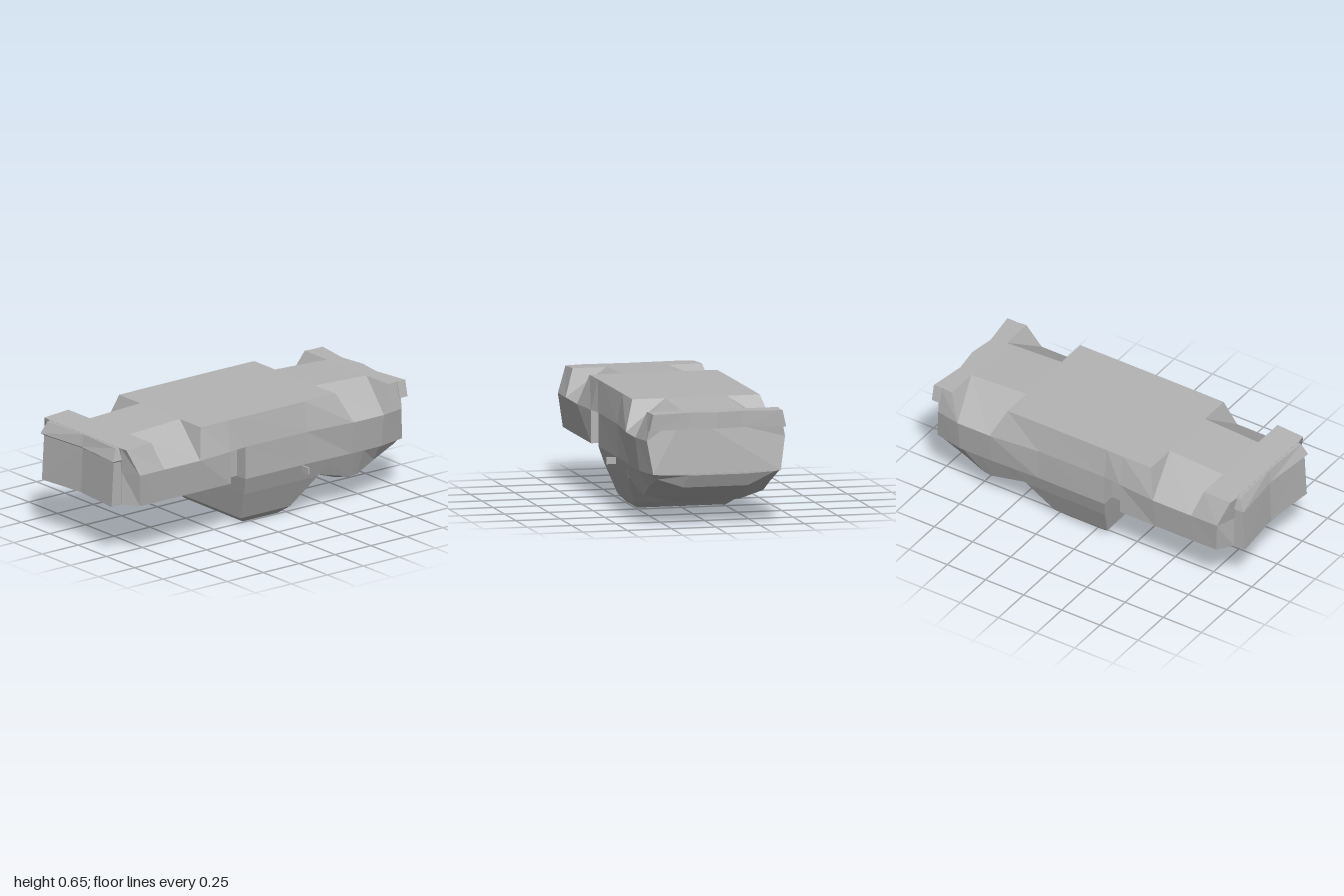
import * as THREE from 'three';

// Skin closed rings of [x, y, z]; rings run clockwise seen from the loft direction.
function loft(name, rings, material) {
  const pos = [];
  const tri = (a, b, c) => pos.push(...a, ...b, ...c);
  const n = rings[0].length;
  for (let s = 0; s < rings.length - 1; s++) {
    const a = rings[s], b = rings[s + 1];
    for (let i = 0; i < n; i++) {
      const j = (i + 1) % n;
      tri(a[i], b[i], a[j]);
      tri(a[j], b[i], b[j]);
    }
  }
  const first = rings[0], last = rings[rings.length - 1];
  for (let i = 1; i < n - 1; i++) {
    tri(first[0], first[i], first[i + 1]);
    tri(last[0], last[i + 1], last[i]);
  }
  const geo = new THREE.BufferGeometry();
  geo.setAttribute('position', new THREE.Float32BufferAttribute(pos, 3));
  geo.computeVertexNormals();
  const mesh = new THREE.Mesh(geo, material);
  mesh.name = name;
  return mesh;
}

// Complete a half section by mirroring it across x = 0.
const mirror = (half) => [...half, ...half.slice().reverse().map(([x, y, z]) => [-x, y, z])];

export function createModel() {
  const grey = new THREE.MeshStandardMaterial({ color: 0xb4b4b4 });
  grey.name = 'plainGrey';
  const group = new THREE.Group();
  group.name = 'overturnedPickupBody';

  // Half section: inner top, top corner, mid crease, recess edge, sill
  const MID = 0.485, LOW = 0.3, IN = 0.175;
  const section = (yT, wT, zT, wM, zM, wL, zL = zM) => mirror([
    [IN, yT, zT], [wT, yT, zT], [wM, MID, zM], [wM, MID, zM], [wL, LOW, zL]]);
  // Wheel arch: the top corner drops onto the mid crease
  const arch = (yT, zT, wM, zM, wL) => mirror([
    [IN, yT, zT], [wM, MID, zM], [wM, MID, zM], [wM, MID, zM], [wL, LOW, zM]]);
  // Gap between cab and bed, cut in from the side
  const gap = (z, wM) => mirror([
    [IN, 0.653, z], [0.36, 0.653, z], [wM, MID, z], [0.31, MID, z], [0.31, LOW, z]]);

  group.add(loft('body', [
    section(0.635, 0.36, -0.965, 0.39, -0.955, 0.36, -0.98),
    section(0.635, 0.37, -0.88, 0.418, -0.81, 0.395),
    arch(0.635, -0.88, 0.418, -0.81, 0.395),
    arch(0.652, -0.52, 0.418, -0.60, 0.395),
    section(0.652, 0.36, -0.52, 0.418, -0.60, 0.395),
    section(0.653, 0.36, -0.30, 0.388, -0.30, 0.385),
    section(0.653, 0.36, 0.13, 0.385, 0.13, 0.385),
    gap(0.13, 0.385),
    gap(0.24, 0.398),
    section(0.653, 0.36, 0.24, 0.398, 0.24, 0.397),
    section(0.652, 0.36, 0.42, 0.418, 0.47, 0.397),
    arch(0.652, 0.42, 0.418, 0.47, 0.397),
    arch(0.637, 0.77, 0.418, 0.72, 0.397),
    section(0.637, 0.365, 0.77, 0.418, 0.72, 0.397),
    section(0.628, 0.362, 0.94, 0.418, 0.89, 0.395, 0.87),
    section(0.628, 0.32, 0.945, 0.31, 0.93, 0.31),
  ], grey));

  // Cab: y, half width, back z, front z
  group.add(loft('cab', [
    [0.003, 0.25, -0.20, 0.04],
    [0.04, 0.287, -0.26, 0.085],
    [0.2, 0.352, -0.40, 0.113],
    [0.301, 0.385, -0.46, 0.13],
  ].map(([y, w, b, f]) => [[-w, y, b], [w, y, b], [w, y, f], [-w, y, f]]), grey));

  // Bonnet: z, side width, fender width and height, centre width and height
  group.add(loft('bonnet', [
    [-0.985, 0.345, 0.33, 0.298, 0.16, 0.29],
    [-0.95, 0.365, 0.33, 0.27, 0.18, 0.22],
    [-0.80, 0.39, 0.34, 0.21, 0.20, 0.15],
    [-0.69, 0.388, 0.335, 0.15, 0.20, 0.107],
    [-0.64, 0.388, 0.335, 0.145, 0.20, 0.105],
    [-0.40, 0.385, 0.352, 0.21, 0.22, 0.197],
    [-0.30, 0.38, 0.34, 0.24, 0.22, 0.23],
  ].map(([z, wS, wF, yF, wC, yC]) => mirror([
    [wS, 0.302, z], [wF, yF, z], [wC, yC, z]])), grey));

  // Nose lip with a shallow wavy outline
  const lip = (y, w) => [
    [0, -0.93], [-w, -0.945], [-w, -1], [-0.15, -0.968], [0, -0.99],
    [0.15, -0.968], [w, -1], [w, -0.945]].map(([x, z]) => [x, y, z]);
  group.add(loft('noseLip', [lip(0.545, 0.385), lip(0.635, 0.365)], grey));

  // Tailgate and its overhanging lip: y, half width, edge z, centre z
  group.add(loft('tailgate', [
    [0.298, 0.307, 1.0, 0.97],
    [0.55, 0.307, 0.985, 0.958],
    [0.56, 0.32, 1.0, 0.97],
    [0.627, 0.302, 0.965, 0.952],
  ].map(([y, w, zE, zC]) => [
    [-w, y, 0.9], [w, y, 0.9], [w, y, zE], [0, y, zC], [-w, y, zE]]), grey));

  // Small side mirror
  const sideMirror = new THREE.Mesh(new THREE.BoxGeometry(0.054, 0.038, 0.01), grey);
  sideMirror.name = 'sideMirror';
  sideMirror.position.set(0.415, 0.279, -0.267);
  group.add(sideMirror);

  // The single mirror shifts the body off centre
  group.children.forEach((m) => { m.position.x -= 0.012; });
  return group;
}
